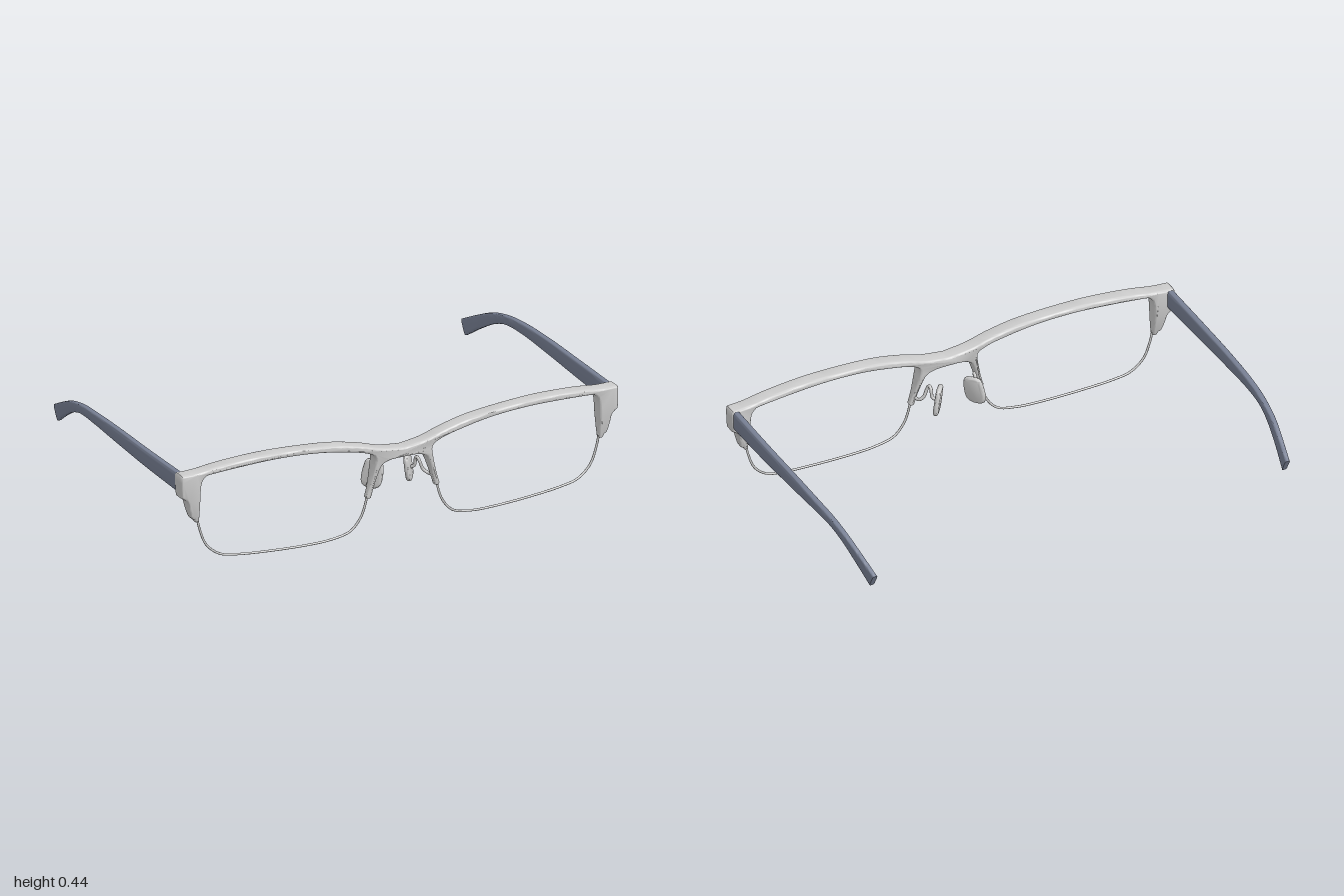
import * as THREE from 'three';
import { toCreasedNormals, mergeVertices } from 'three/addons/utils/BufferGeometryUtils.js';

const grey = new THREE.MeshStandardMaterial({ color: 0xcccccc });
const slate = new THREE.MeshStandardMaterial({ color: 0x788094 });

// depth of the gently wrapped front at a given x
const wrapZ = (x) => 0.588 - 0.04 * Math.abs(x) ** 1.5;
const spline2 = (pts, n) => new THREE.SplineCurve(pts.map((p) => new THREE.Vector2(...p))).getPoints(n);
const curve3 = (pts) => new THREE.CatmullRomCurve3(pts.map((p) => new THREE.Vector3(...p)));
const crease = (geo, angle) => {
  geo.deleteAttribute('normal');
  geo.deleteAttribute('uv');
  return toCreasedNormals(mergeVertices(geo, 1e-5), angle);
};

// mirrored copy across x = 0 with the corner order turned round
function mirrorX(source) {
  const geo = source.index ? source.toNonIndexed() : source.clone();
  for (const name of ['position', 'normal']) {
    const a = geo.attributes[name];
    for (let i = 0; i < a.count; i += 3) {
      const v = [0, 2, 1].map((k) => new THREE.Vector3().fromBufferAttribute(a, i + k));
      v.forEach((p, k) => a.setXYZ(i + k, -p.x, p.y, p.z));
    }
  }
  return geo;
}

// brow bar, bridge, end blocks and rim legs as one bevelled outline, wrapped and tapered
function frontFrame() {
  const half = [
    ...spline2([[0, 0.36], [0.1, 0.374], [0.2, 0.403], [0.35, 0.43], [0.6, 0.443], [0.8, 0.434], [0.92, 0.419], [0.995, 0.416]], 40),
    ...spline2([[1, 0.41], [1, 0.36], [0.997, 0.318]], 4),
    ...spline2([[0.985, 0.311], [0.97, 0.295], [0.962, 0.26], [0.95, 0.222], [0.938, 0.215]], 12),
    ...spline2([[0.93, 0.2], [0.916, 0.2]], 1),
    ...spline2([[0.914, 0.24], [0.913, 0.31], [0.909, 0.365], [0.893, 0.393], [0.85, 0.403], [0.6, 0.416], [0.4, 0.408],
      [0.23, 0.38], [0.155, 0.358], [0.13, 0.335], [0.135, 0.29], [0.152, 0.22], [0.168, 0.168]], 60),
    ...spline2([[0.162, 0.16], [0.147, 0.162]], 1),
    ...spline2([[0.131, 0.22], [0.112, 0.28], [0.095, 0.305], [0.06, 0.317], [0, 0.319]], 16),
  ];
  const other = half.slice(1, -1).reverse().map((p) => new THREE.Vector2(-p.x, p.y));
  const geo = new THREE.ExtrudeGeometry(new THREE.Shape([...half, ...other]), {
    depth: 0.038, bevelThickness: 0.014, bevelSize: 0.008, bevelOffset: -0.008, bevelSegments: 4, steps: 1,
  });
  geo.translate(0, 0, -0.019);
  const p = geo.attributes.position;
  for (let i = 0; i < p.count; i++) {
    const k = 0.4 + 0.6 * THREE.MathUtils.smoothstep(p.getY(i), 0.16, 0.33);
    p.setZ(i, wrapZ(p.getX(i)) + p.getZ(i) * k + (1 - k) * 0.01);
  }
  return crease(geo, 0.7);
}

// thin wire under the lens opening
function lensWire() {
  const path = [[0.155, 0.19], [0.17, 0.125], [0.19, 0.078], [0.235, 0.03], [0.32, 0.01], [0.42, 0.006], [0.6, 0.012],
    [0.75, 0.025], [0.82, 0.041], [0.878, 0.09], [0.908, 0.165], [0.921, 0.225]];
  return new THREE.TubeGeometry(curve3(path.map(([x, y]) => [x, y, wrapZ(x) + 0.006])), 70, 0.005, 8);
}

// temple: rounded-rectangle sections between a top and a bottom edge
function temple() {
  const top = curve3([[0.981, 0.413, 0.53], [0.983, 0.412, 0.25], [0.982, 0.412, 0], [0.978, 0.405, -0.2],
    [0.971, 0.393, -0.32], [0.962, 0.366, -0.43], [0.949, 0.327, -0.52], [0.932, 0.276, -0.622]]);
  const bottom = curve3([[0.981, 0.331, 0.53], [0.983, 0.34, 0.25], [0.982, 0.352, 0], [0.978, 0.36, -0.2],
    [0.971, 0.354, -0.32], [0.962, 0.328, -0.4], [0.949, 0.279, -0.49], [0.932, 0.215, -0.588]]);
  const rows = 48, sides = 20, pos = [], index = [];
  const soft = (v) => Math.sign(v) * Math.abs(v) ** 0.4;
  for (let i = 0; i <= rows; i++) {
    const t = i / rows, a = top.getPoint(t), b = bottom.getPoint(t);
    const mid = a.clone().add(b).multiplyScalar(0.5), up = a.sub(b).multiplyScalar(0.5);
    const w = THREE.MathUtils.lerp(0.015, 0.011, t);
    for (let j = 0; j < sides; j++) {
      const ang = (j / sides) * Math.PI * 2;
      const q = mid.clone().addScaledVector(up, soft(Math.sin(ang)));
      pos.push(q.x + w * soft(Math.cos(ang)), q.y, q.z);
    }
  }
  for (let j = 0; j < sides; j++) {
    const n = (j + 1) % sides, last = rows * sides;
    for (let i = 0; i < last; i += sides) {
      index.push(i + j, i + sides + j, i + n, i + n, i + sides + j, i + sides + n);
    }
    if (j > 0 && j < sides - 1) index.push(0, j, n, last, last + n, last + j);
  }
  const geo = new THREE.BufferGeometry();
  geo.setAttribute('position', new THREE.Float32BufferAttribute(pos, 3));
  geo.setIndex(index);
  return toCreasedNormals(geo, 0.8);
}

// soft rounded pad, slightly wider at the bottom
function nosePad() {
  const outline = new THREE.SplineCurve([[0, 0.063], [0.03, 0.058], [0.042, 0.035], [0.049, -0.02], [0.043, -0.05], [0.02, -0.062],
    [-0.015, -0.06], [-0.038, -0.042], [-0.044, 0], [-0.041, 0.04], [-0.028, 0.059], [0, 0.063]]
    .map((p) => new THREE.Vector2(...p))).getPoints(44).slice(0, -1);
  const geo = new THREE.ExtrudeGeometry(new THREE.Shape(outline), {
    depth: 0.004, bevelThickness: 0.009, bevelSize: 0.013, bevelOffset: -0.013, bevelSegments: 5,
  });
  geo.translate(0, 0, -0.002);
  geo.applyMatrix4(new THREE.Matrix4().makeRotationFromEuler(new THREE.Euler(0, 0.93, 0.13, 'ZYX')));
  geo.translate(0.081, 0.217, 0.496);
  return crease(geo, 0.9);
}

// bent wire arm from the rim leg to the pad
function padArm() {
  const path = curve3([[0.145, 0.2, 0.58], [0.138, 0.2, 0.555], [0.122, 0.215, 0.545], [0.108, 0.25, 0.543],
    [0.101, 0.268, 0.535], [0.1, 0.258, 0.522], [0.099, 0.225, 0.513], [0.084, 0.213, 0.5]]);
  return new THREE.TubeGeometry(path, 32, 0.007, 8);
}

export function createModel() {
  const model = new THREE.Group();
  model.name = 'eyeglasses';
  const add = (name, geo, mat) => {
    const mesh = new THREE.Mesh(geo, mat);
    mesh.name = name;
    model.add(mesh);
  };
  add('frontFrame', frontFrame(), grey);
  const pairs = [['LensWire', lensWire(), grey], ['Temple', temple(), slate], ['NosePad', nosePad(), grey], ['PadArm', padArm(), grey]];
  for (const [name, geo, mat] of pairs) {
    add('left' + name, geo, mat);
    add('right' + name, mirrorX(geo), mat);
  }
  return model;
}
